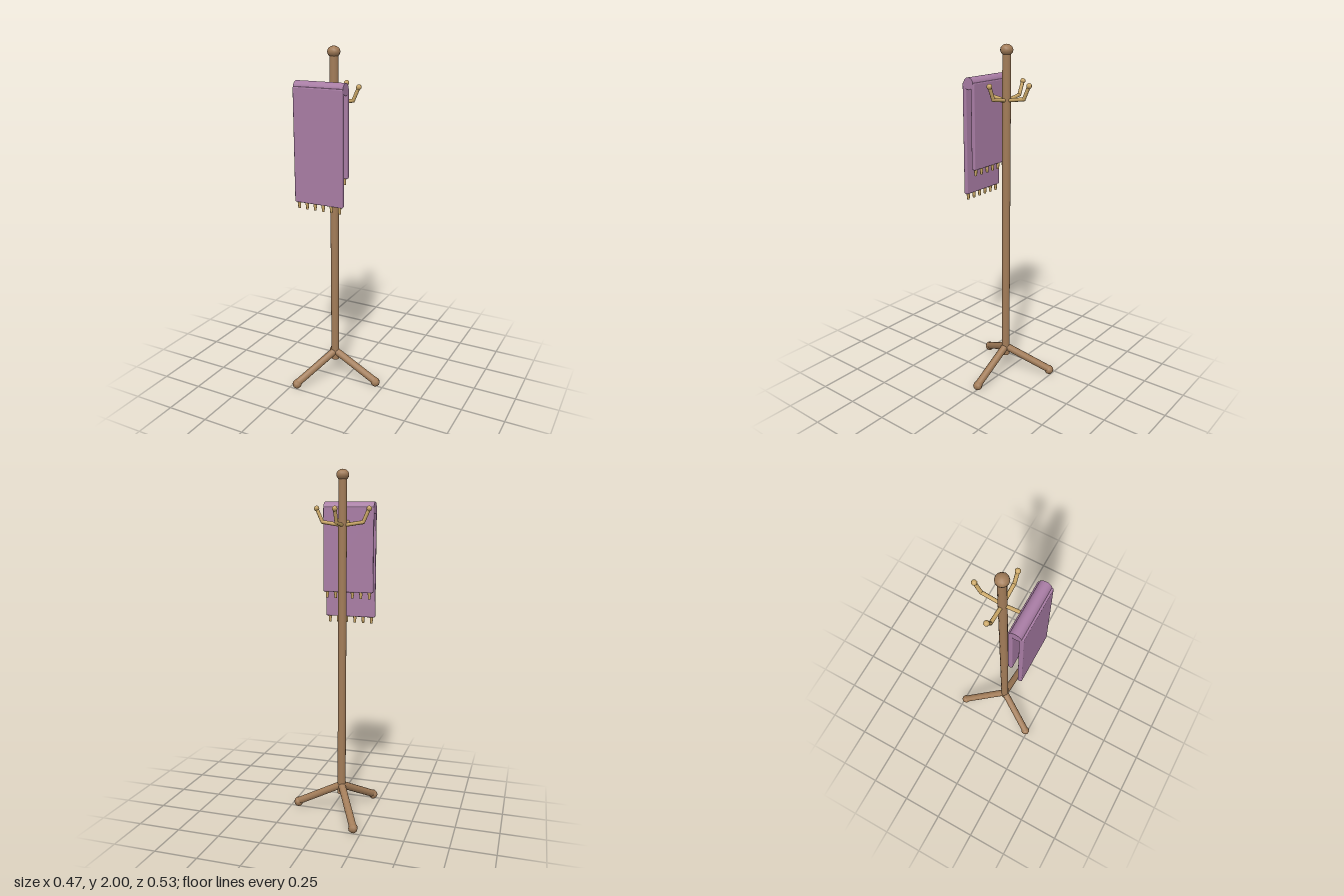
import * as THREE from 'three';
import { RoundedBoxGeometry } from 'three/addons/geometries/RoundedBoxGeometry.js';

const material = (name, color) => Object.assign(new THREE.MeshStandardMaterial({ color }), { name });

export function createModel() {
  const wood = material('wood', 0xa27c58);
  const brass = material('brass', 0xcda968);
  const cloth = material('mauve cloth', 0xa87ca4);

  const model = new THREE.Group();
  model.name = 'coatStand';
  const stand = new THREE.Group();
  stand.name = 'stand';
  stand.position.x = -0.07;
  model.add(stand);

  const add = (parent, name, geometry, mat, x = 0, y = 0, z = 0) => {
    const mesh = new THREE.Mesh(geometry, mat);
    mesh.name = name;
    mesh.position.set(x, y, z);
    parent.add(mesh);
    return mesh;
  };

  // Round bar between two points
  const bar = (parent, name, a, b, radius, mat, sides) => {
    const from = new THREE.Vector3(...a), to = new THREE.Vector3(...b);
    const dir = to.clone().sub(from);
    const mesh = add(parent, name, new THREE.CylinderGeometry(radius, radius, dir.length(), sides), mat);
    mesh.position.copy(from).add(to).multiplyScalar(0.5);
    mesh.quaternion.setFromUnitVectors(new THREE.Vector3(0, 1, 0), dir.normalize());
  };

  // Pole and finial
  bar(stand, 'pole', [0, 0.122, 0], [0, 1.96, 0], 0.024, wood, 16);
  add(stand, 'finial', new THREE.SphereGeometry(0.036, 12, 8), wood, 0, 1.969, 0).scale.y = 0.86;

  // Three splayed legs with ball feet
  for (let i = 0; i < 3; i++) {
    const leg = new THREE.Group();
    leg.name = 'leg';
    leg.rotation.y = (i * Math.PI * 2) / 3;
    bar(leg, 'legBar', [0, 0.175, 0], [0.274, 0.032, 0], 0.022, wood, 12);
    add(leg, 'foot', new THREE.SphereGeometry(0.028, 8, 6), wood, 0.274, 0.028, 0);
    stand.add(leg);
  }

  // Four bent hooks with ball tips
  for (let i = 0; i < 4; i++) {
    const hook = new THREE.Group();
    hook.name = 'hook';
    hook.rotation.y = (i * Math.PI) / 2;
    bar(hook, 'hookArm', [0, 1.699, 0], [0.118, 1.717, 0], 0.0105, brass, 8);
    bar(hook, 'hookTip', [0.115, 1.713, 0], [0.15, 1.79, 0], 0.0105, brass, 8);
    add(hook, 'hookBall', new THREE.SphereGeometry(0.0155, 8, 6), brass, 0.15, 1.79, 0);
    stand.add(hook);
  }

  // Scarf draped over the front hook
  const scarf = new THREE.Group();
  scarf.name = 'scarf';
  stand.add(scarf);
  const width = 0.297, foldY = 1.794;
  const fold = add(scarf, 'scarfFold', new THREE.CylinderGeometry(0.033, 0.033, width, 20), cloth, 0, foldY, 0.148);
  fold.rotation.z = Math.PI / 2;

  // Hanging panels, each with a fringe of tassels
  for (const [name, z, bottom] of [['frontPanel', 0.178, 1.165], ['backPanel', 0.12, 1.315]]) {
    const height = foldY + 0.004 - bottom;
    add(scarf, name, new RoundedBoxGeometry(width, height, 0.025, 2, 0.007), cloth, 0, bottom + height / 2, z);
    for (let i = 0; i < 6; i++) {
      const x = (i - 2.5) * 0.0505;
      add(scarf, 'tassel', new THREE.CylinderGeometry(0.011, 0.007, 0.042, 8), brass, x, bottom - 0.015, z);
    }
  }

  return model;
}
